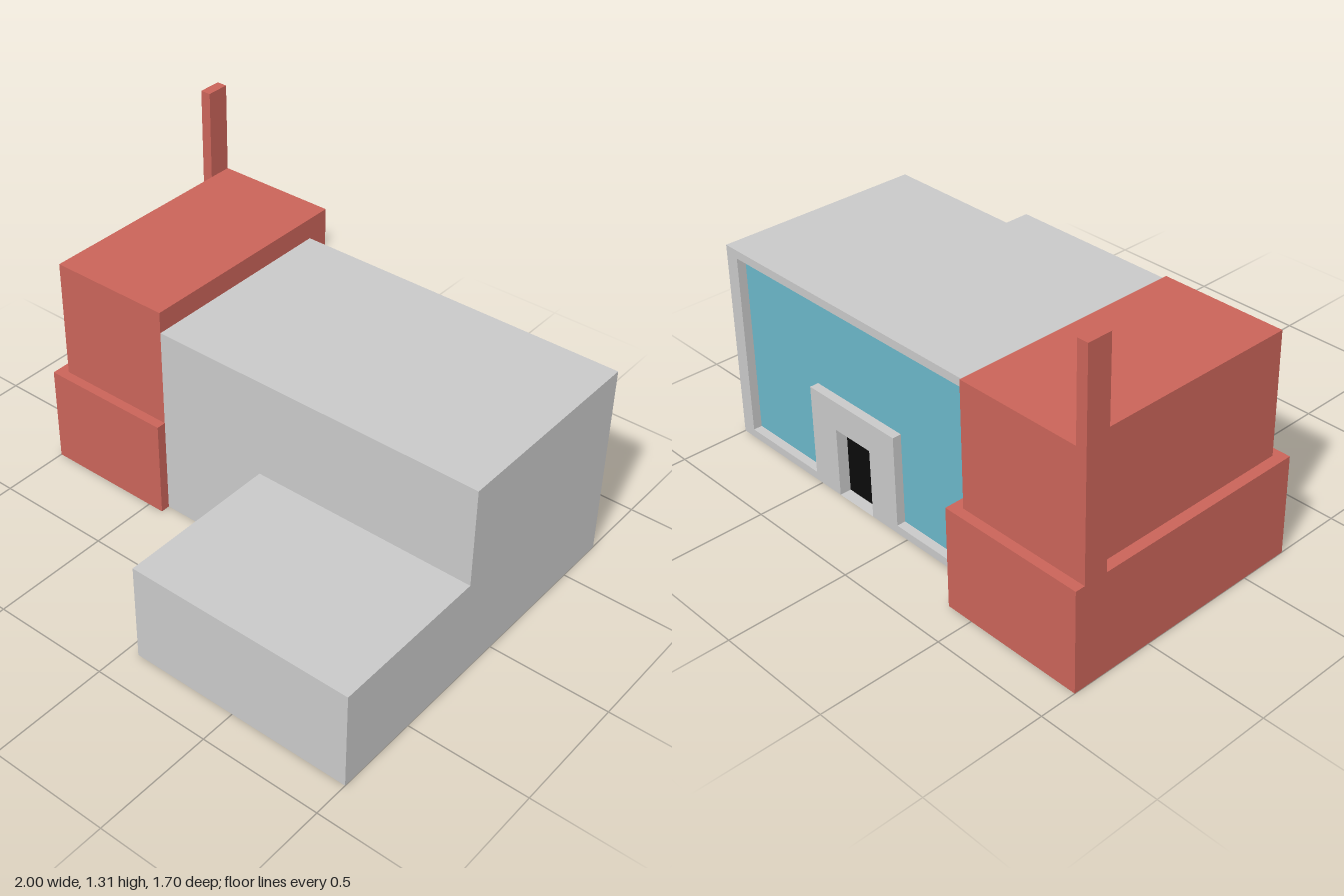
import * as THREE from 'three';

const material = (name, color) => {
  const m = new THREE.MeshStandardMaterial({ color, side: THREE.DoubleSide });
  m.name = name;
  return m;
};

export function createModel() {
  const model = new THREE.Group();
  const grey = material('wall grey', 0xc9c9c9);
  const red = material('brick red', 0xca6459);
  const blue = material('glass blue', 0x6bb7c9);
  const black = material('door black', 0x0a0a0a);

  const add = (name, geometry, mat) => {
    const mesh = new THREE.Mesh(geometry, mat);
    mesh.name = name;
    model.add(mesh);
    return mesh;
  };

  // Sweeps a line of 3D points along an offset into flat quads
  const ribbon = (points, [ox, oy, oz]) => {
    const pos = [];
    for (let i = 0; i + 1 < points.length; i++) {
      const a = points[i], b = points[i + 1];
      const a2 = [a[0] + ox, a[1] + oy, a[2] + oz];
      const b2 = [b[0] + ox, b[1] + oy, b[2] + oz];
      pos.push(...a, ...b, ...b2, ...a, ...b2, ...a2);
    }
    const g = new THREE.BufferGeometry();
    g.setAttribute('position', new THREE.Float32BufferAttribute(pos, 3));
    g.computeVertexNormals();
    return g;
  };
  // Upright walls along a ground plan of [x, z] points
  const walls = (plan, y0, y1) => ribbon(plan.map(([x, z]) => [x, y0, z]), [0, y1 - y0, 0]);
  const outline = (pts) => new THREE.Shape(pts.map(([x, y]) => new THREE.Vector2(x, y)));
  // Level surface over a ground plan
  const slab = (plan, y) =>
    new THREE.ShapeGeometry(outline(plan.map(([x, z]) => [x, -z]))).rotateX(-Math.PI / 2).translate(0, y, 0);
  const rect = (x0, x1, z0, z1) => [[x0, z0], [x1, z0], [x1, z1], [x0, z1]];

  // Main plan lines
  const split = -0.43, back = -0.71, front = 0.17;
  const low = 0.42, roof = 0.84, tall = 0.93;

  // Grey hall and its low front wing, open underneath
  add('lowerWalls', walls([[split, front], [0.05, front], [0.05, 0.85], [1, 0.85], [1, back]], 0, low), grey);
  add('upperWalls', walls([[split, front], [1, front], [1, back]], low, roof), grey);
  add('hallRoof', slab(rect(split, 1, back, front), roof), grey);
  add('wingRoof', slab(rect(0.05, 1, front, 0.85), low), grey);

  // Back wall: frame and portal around a recessed window, with a door notch
  const windowLine = [[-0.352, 0.035], [-0.352, 0.805], [0.937, 0.805], [0.937, 0.035],
    [0.532, 0.035], [0.532, 0.42], [0.055, 0.42], [0.055, 0.035]];
  const doorLine = [[0.197, 0], [0.197, 0.295], [0.39, 0.295], [0.39, 0]];
  const wallShape = outline([[split, 0], [split, roof], [1, roof], [1, 0], ...[...doorLine].reverse()]);
  wallShape.holes.push(outline(windowLine));
  add('backWall', new THREE.ShapeGeometry(wallShape).translate(0, 0, back), grey);

  const recess = (name, line, depth, mat) => {
    const loop = [...line, line[0]].map(([x, y]) => [x, y, back]);
    add(name + 'Reveal', ribbon(loop, [0, 0, depth]), grey);
    add(name, new THREE.ShapeGeometry(outline(line)).translate(0, 0, back + depth), mat);
  };
  recess('window', windowLine, 0.037, blue);
  recess('door', doorLine, 0.048, black);

  // Red tower: wide base, ledge, narrower upper storey
  const base = [[-0.385, back], [-0.385, -0.85], [-1, -0.85], [-1, 0.21], [split, 0.21], [split, front]];
  const upper = [[split, back], [split, -0.81], [-0.955, -0.81], [-0.955, front], [split, front]];
  add('towerBase', walls(base, 0, low), red);
  add('towerLedge', slab([...base, ...[...upper].reverse().slice(1)], low), red);
  add('towerWalls', walls(upper, low, tall), red);
  add('towerInnerParapet', walls([[split, front], [split, back]], roof, tall), red);
  add('towerRoof', slab(rect(-0.955, split, -0.81, front), tall), red);

  // Chimney standing on the ledge
  const chimney = add('chimney', new THREE.BoxGeometry(0.045, 1.31 - low, 0.1), red);
  chimney.position.set(-0.9775, (1.31 + low) / 2, -0.76);

  return model;
}
